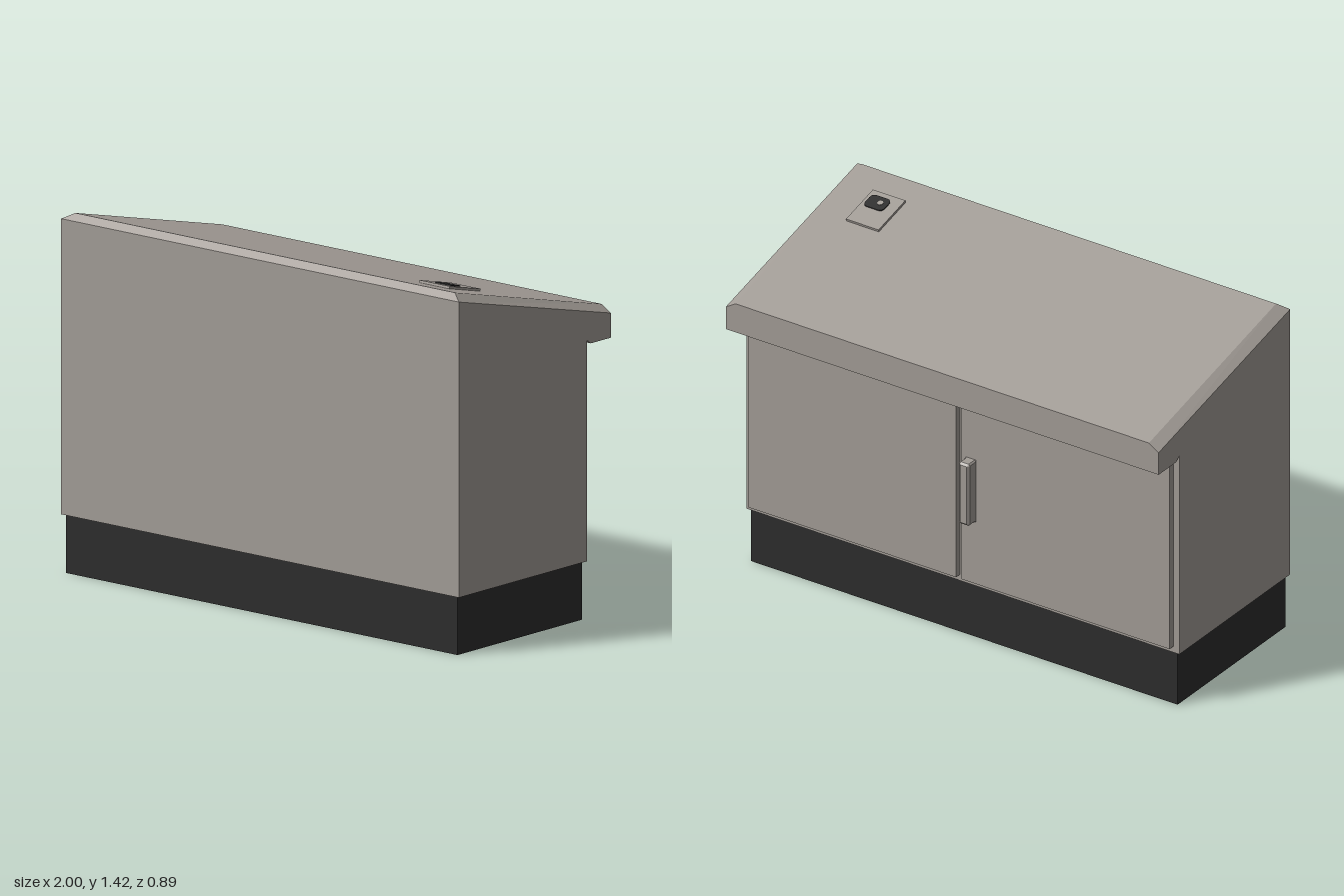
import * as THREE from 'three';

const mat = (name, color, extra = {}) => {
  const m = new THREE.MeshStandardMaterial({ color, ...extra });
  m.name = name;
  return m;
};

// Flat-faced geometry from convex outlines, each a list of [x, y, z] corners
function fromPolygons(polygons) {
  const pos = [];
  for (const p of polygons)
    for (let i = 1; i < p.length - 1; i++) pos.push(...p[0], ...p[i], ...p[i + 1]);
  const g = new THREE.BufferGeometry();
  g.setAttribute('position', new THREE.Float32BufferAttribute(pos, 3));
  g.computeVertexNormals();
  return g;
}

// Rounded or chamfered rectangle centred on the origin
function cornerRect(w, h, r, round) {
  const s = new THREE.Shape(), x = w / 2, y = h / 2;
  const corner = (cx, cy, ex, ey) => round ? s.quadraticCurveTo(cx, cy, ex, ey) : s.lineTo(ex, ey);
  s.moveTo(-x + r, -y);
  s.lineTo(x - r, -y); corner(x, -y, x, -y + r);
  s.lineTo(x, y - r); corner(x, y, x - r, y);
  s.lineTo(-x + r, y); corner(-x, y, -x, y - r);
  s.lineTo(-x, -y + r); corner(-x, -y, -x + r, -y);
  return s;
}

export function createModel() {
  const model = new THREE.Group();
  model.name = 'slopedCabinet';
  const grey = mat('warmGrey', 0xa39d97, { side: THREE.DoubleSide });
  const black = mat('charcoal', 0x2d2d2d, { side: THREE.DoubleSide });
  const add = (name, geo, material, parent = model) => {
    const mesh = new THREE.Mesh(geo, material);
    mesh.name = name;
    parent.add(mesh);
    return mesh;
  };

  // Side profile as [z, y], from front bottom over the roof and rear lip to back bottom
  const P = [[0.445, 0.23], [0.445, 1.393], [-0.445, 1.18], [-0.445, 1.083],
    [-0.328, 1.083], [-0.305, 1.1], [-0.305, 0.23]];
  const R = [[0.415, 1.417], [-0.445, 1.208]]; // roof surface inside the chamfers
  const at = (x, [z, y]) => [x, y, z];
  const strip = (a, b, x) => [at(-x, a), at(x, a), at(x, b), at(-x, b)];

  // Hollow housing, open underneath
  const rx = 0.955;
  add('housing', fromPolygons([
    [5, 4, 3, 2, 1, 0, 6].map(i => at(1, P[i])),
    [5, 6, 0, 1, 2, 3, 4].map(i => at(-1, P[i])),
    ...[0, 3, 4, 5].map(i => strip(P[i], P[i + 1], 1)),
    [at(-1, P[2]), at(-rx, R[1]), at(rx, R[1]), at(1, P[2]), at(1, P[3]), at(-1, P[3])],
  ]), grey);

  // Sloped roof with chamfered front and sides
  add('roof', fromPolygons([
    strip(R[0], R[1], rx),
    [at(-1, P[1]), at(1, P[1]), at(rx, R[0]), at(-rx, R[0])],
    [at(1, P[1]), at(1, P[2]), at(rx, R[1]), at(rx, R[0])],
    [at(-1, P[2]), at(-1, P[1]), at(-rx, R[0]), at(-rx, R[1])],
  ]), grey);

  // Narrow rim between housing and plinth
  const px = 0.985, pf = 0.435, pb = -0.295;
  const rect = (S, x, a, b) => new S([[-x, a], [x, a], [x, b], [-x, b]].map(p => new THREE.Vector2(...p)));
  const rim = rect(THREE.Shape, 1, -0.305, 0.445);
  rim.holes.push(rect(THREE.Path, px, pb, pf));
  add('bottomRim', new THREE.ShapeGeometry(rim).rotateX(Math.PI / 2).translate(0, 0.23, 0), grey);

  // Open plinth frame
  const ring = [[-px, pf], [px, pf], [px, pb], [-px, pb]];
  add('plinth', fromPolygons(ring.map(([x, z], i) => {
    const [x2, z2] = ring[(i + 1) % 4];
    return [[x, 0, z], [x2, 0, z2], [x2, 0.23, z2], [x, 0.23, z]];
  })), black);

  // Pair of rear doors
  for (const s of [1, -1])
    add(s > 0 ? 'leftDoor' : 'rightDoor',
      new THREE.BoxGeometry(0.96, 0.812, 0.027).translate(s * 0.493, 0.663, -0.3185), grey);

  // Door handle with bevelled outer edges
  const b = 0.009;
  const grip = new THREE.ExtrudeGeometry(cornerRect(0.048 - 2 * b, 0.27 - 2 * b, 0.001, false),
    { depth: 0.051 - 2 * b, bevelThickness: b, bevelSize: b, bevelSegments: 1 });
  // square off the end that meets the door
  const gp = grip.attributes.position;
  for (let i = 0; i < gp.count; i++)
    if (gp.getZ(i) < -b / 2)
      gp.setXY(i, Math.sign(gp.getX(i)) * 0.024, Math.sign(gp.getY(i)) * 0.135);
  grip.computeVertexNormals();
  add('doorHandle', grip.rotateY(Math.PI).translate(-0.056, 0.665, -0.332 - b), grey);

  // Lock plate lying on the slope
  const slope = (R[0][1] - R[1][1]) / (R[0][0] - R[1][0]);
  const lock = new THREE.Group();
  lock.name = 'lockPlate';
  lock.position.set(0.755, R[0][1] + slope * (0.213 - R[0][0]), 0.213);
  lock.rotation.x = -Math.atan(slope);
  model.add(lock);
  add('plate', new THREE.BoxGeometry(0.15, 0.01, 0.187).translate(0, 0.005, 0), grey, lock);
  add('lockCover', new THREE.ExtrudeGeometry(cornerRect(0.09, 0.07, 0.022, true),
    { depth: 0.004, bevelEnabled: false, curveSegments: 6 })
    .rotateX(-Math.PI / 2).translate(0.015, 0.01, 0.034), black, lock);
  add('lockPin', new THREE.CylinderGeometry(0.012, 0.012, 0.003, 16)
    .translate(0.002, 0.0145, 0.036), grey, lock);

  return model;
}
